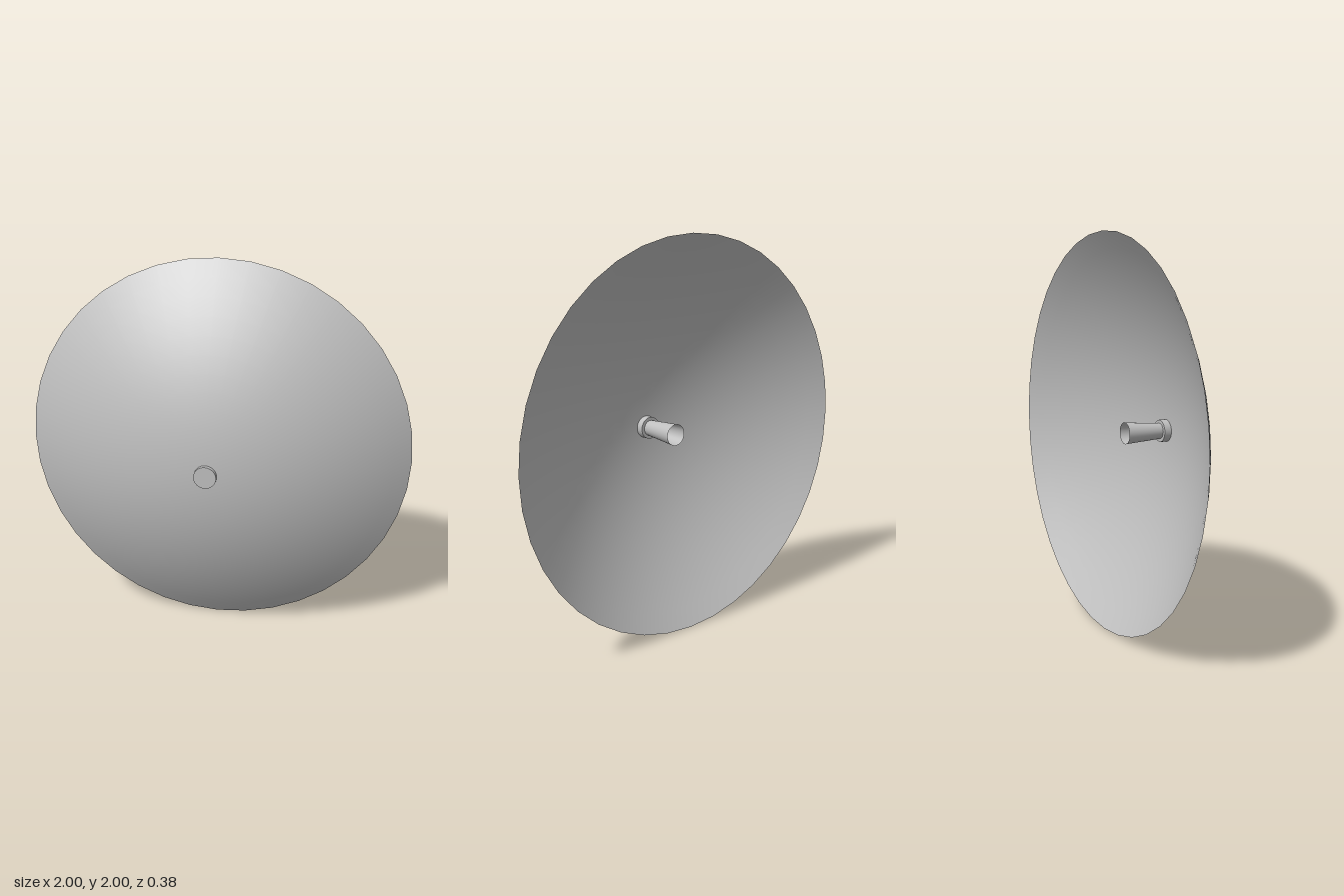
import * as THREE from 'three';

const SIDES = 40;

// Turn a profile of [radius, z] points around the z axis
function turned(name, profile, material, sides = SIDES) {
  const points = profile.map(([r, z]) => new THREE.Vector2(r, z));
  const geometry = new THREE.LatheGeometry(points, sides);
  geometry.rotateX(Math.PI / 2);
  const mesh = new THREE.Mesh(geometry, material);
  mesh.name = name;
  return mesh;
}

export function createModel() {
  const metal = new THREE.MeshStandardMaterial({ color: 0xbfbfbf, side: THREE.DoubleSide });
  metal.name = 'grey metal';

  const model = new THREE.Group();
  model.name = 'dishAntenna';

  // Thin parabolic reflector, bulging forward and open to the rear
  const rimZ = -0.19, apexZ = 0.17, rings = 12;
  const bowl = [];
  for (let i = 0; i <= rings; i++) {
    const r = 1 - i / rings;
    bowl.push([r, apexZ - (apexZ - rimZ) * r * r]);
  }
  model.add(turned('reflector', bowl, metal));

  // Hub drum through the centre of the bowl
  const hub = new THREE.Mesh(new THREE.CylinderGeometry(0.057, 0.057, 0.06, SIDES), metal);
  hub.name = 'hub';
  hub.rotation.x = Math.PI / 2;
  hub.position.z = 0.16;
  model.add(hub);

  // Open feed horn, flaring towards the rear
  model.add(turned('feedHorn', [[0.055, -0.07], [0.04, 0.13]], metal));

  model.position.y = 1;
  const root = new THREE.Group();
  root.name = 'model';
  root.add(model);
  return root;
}
